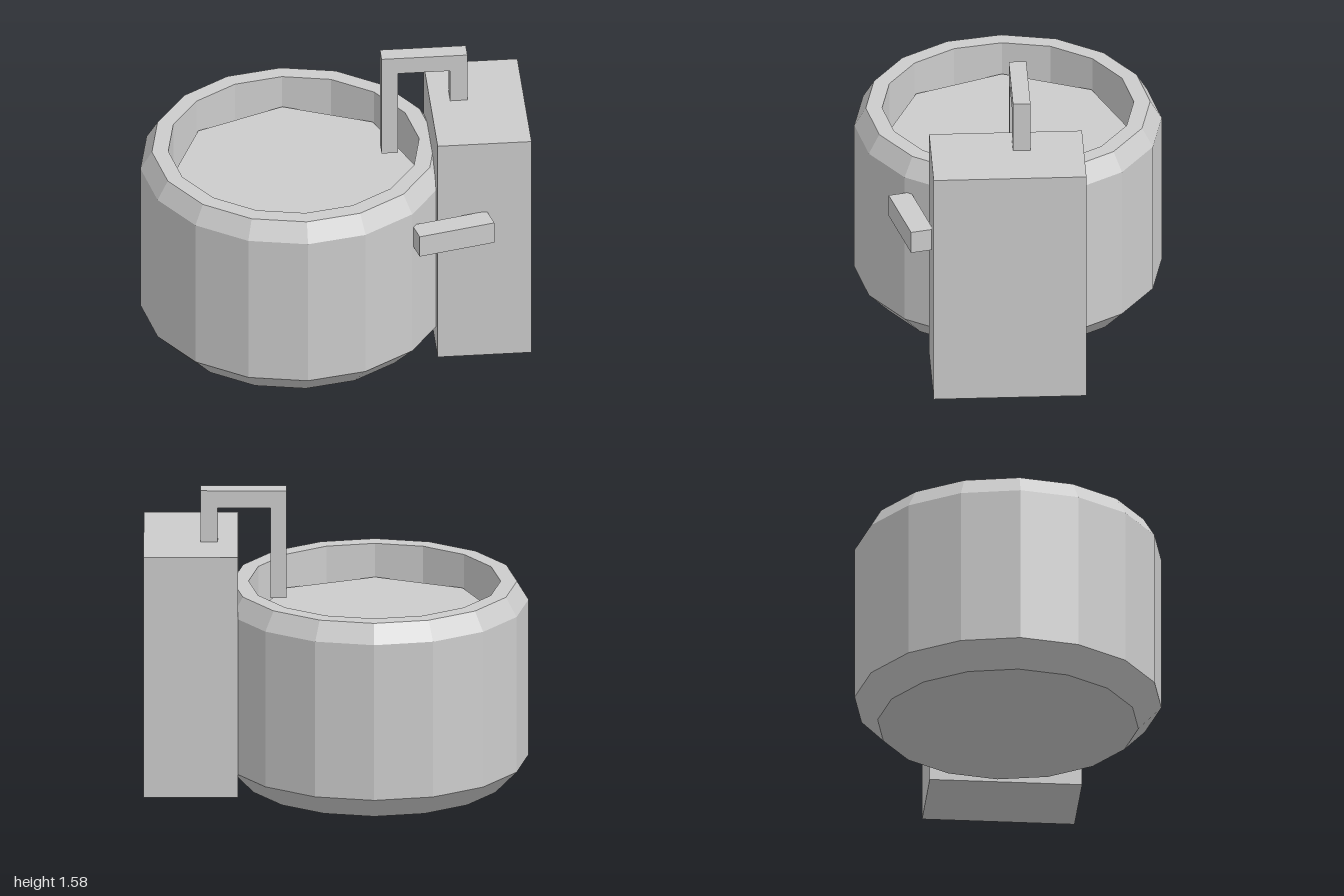
import * as THREE from 'three';

const stone = new THREE.MeshStandardMaterial({ color: 0xcccccc, flatShading: true });
stone.name = 'pale grey';

// Box given by its min and max corners
function block(name, [x0, y0, z0], [x1, y1, z1]) {
  const mesh = new THREE.Mesh(new THREE.BoxGeometry(x1 - x0, y1 - y0, z1 - z0), stone);
  mesh.position.set((x0 + x1) / 2, (y0 + y1) / 2, (z0 + z1) / 2);
  mesh.name = name;
  return mesh;
}

export function createModel() {
  const model = new THREE.Group();
  model.name = 'washBasin';

  // Sixteen-sided hollow tub with chamfered foot and rim
  const profile = [
    [0, 0], [0.68, 0], [0.8, 0.125], [0.8, 0.97], [0.74, 1.07],
    [0.655, 1.07], [0.655, 0.15], [0, 0.15],
  ].map(([r, y]) => new THREE.Vector2(r, y));
  const tub = new THREE.Mesh(new THREE.LatheGeometry(profile, 16), stone);
  tub.position.x = -0.2;
  tub.name = 'tub';
  model.add(tub);

  // Eight-sided water surface inside the tub
  const water = new THREE.Mesh(new THREE.CylinderGeometry(0.645, 0.645, 0.02, 8), stone);
  water.position.set(-0.2, 0.88, 0);
  water.name = 'water';
  model.add(water);

  // Upright cabinet beside the tub
  model.add(block('cabinet', [0.51, 0, -0.35], [1, 1.305, 0.445]));

  // Squared spout arching from the cabinet over the tub
  const spout = new THREE.Group();
  spout.name = 'spout';
  spout.add(
    block('spoutRiser', [0.615, 1.3, -0.073], [0.705, 1.49, 0.018]),
    block('spoutArm', [0.257, 1.49, -0.073], [0.705, 1.583, 0.018]),
    block('spoutOutlet', [0.257, 1.0, -0.073], [0.342, 1.49, 0.018]),
  );
  model.add(spout);

  // Angled handle at the front of the cabinet
  const handle = new THREE.Mesh(new THREE.BoxGeometry(0.41, 0.122, 0.12), stone);
  handle.position.set(0.582, 0.822, 0.543);
  handle.rotation.y = 0.24;
  handle.name = 'handle';
  model.add(handle);

  return model;
}
